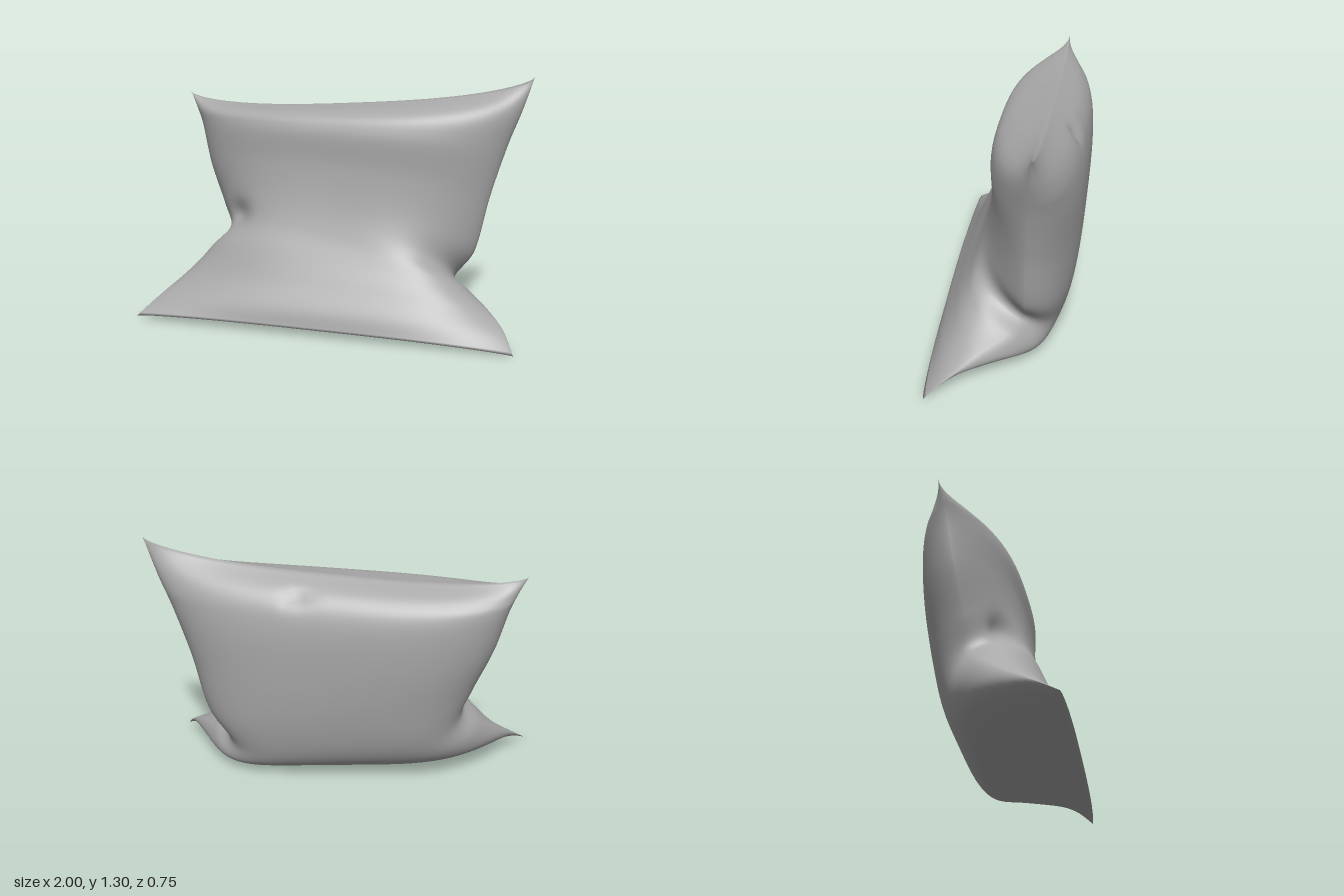
import * as THREE from 'three';
import { mergeGeometries, mergeVertices } from 'three/addons/utils/BufferGeometryUtils.js';

// Stations from the bottom seam to the top seam.
// left seam x,y,z | right seam x,y,z | front centre y,z | back centre y,z
const STATIONS = [
  [-1.00, 0.02, 0.37, 1.00, 0.00, 0.33, 0.04, 0.37, 0.04, 0.37],
  [-0.92, 0.11, 0.25, 0.93, 0.09, 0.21, 0.13, 0.345, 0.04, 0.18],
  [-0.82, 0.21, 0.10, 0.83, 0.15, 0.08, 0.25, 0.28, 0.05, -0.07],
  [-0.72, 0.31, -0.03, 0.72, 0.19, -0.06, 0.38, 0.215, 0.08, -0.19],
  [-0.63, 0.41, -0.09, 0.63, 0.255, -0.10, 0.50, 0.165, 0.20, -0.28],
  [-0.68, 0.56, -0.11, 0.73, 0.39, -0.12, 0.65, 0.125, 0.42, -0.34],
  [-0.77, 0.78, -0.14, 0.80, 0.68, -0.13, 0.84, 0.10, 0.70, -0.37],
  [-0.83, 1.00, -0.17, 0.88, 0.95, -0.15, 1.02, 0.095, 0.93, -0.365],
  [-0.87, 1.10, -0.18, 0.95, 1.14, -0.17, 1.11, 0.03, 1.06, -0.31],
  [-0.91, 1.18, -0.19, 1.00, 1.30, -0.18, 1.145, -0.18, 1.145, -0.18],
];

// Pinched spots in the cloth: centre, radius, push along z
const FRONT_DENTS = [[new THREE.Vector3(-0.52, 0.53, 0.06), 0.08, -0.05]];
const BACK_DENTS = [[new THREE.Vector3(0.20, 1.06, -0.30), 0.05, 0.035]];

const curve = (pick) =>
  new THREE.CatmullRomCurve3(STATIONS.map((r) => new THREE.Vector3(...pick(r))), false, 'catmullrom', 0.5);

// One cloth sheet, bulging from the two side seams to its centre line
function sheet(left, right, centre, dents, isBack) {
  const NU = 48, NV = 72;
  const pos = [], index = [];
  for (let j = 0; j <= NV; j++) {
    const t = j / NV;
    const L = left.getPoint(t), R = right.getPoint(t), C = centre.getPoint(t);
    const mid = L.clone().add(R).multiplyScalar(0.5);
    const bulge = C.sub(mid).setX(0);
    // the sides are rounded, blunter on the back and around the folded waist
    const waist = Math.exp(-(((t - 0.36) / 0.14) ** 2));
    const blunt = isBack ? Math.min(1, t * 6, (1 - t) * 6) : 0;
    const root = 0.65 - Math.max(0.14 * waist, 0.16 * blunt);
    for (let i = 0; i <= NU; i++) {
      const s = Math.sin((i / NU - 0.5) * Math.PI);
      const p = L.clone().lerp(R, (s + 1) / 2);
      const power = 2.7 + 0.5 * blunt + waist * (s > 0 ? 3 : 1);
      const lift = Math.max(0, 1 - Math.abs(s) ** power) ** root;
      p.addScaledVector(bulge, lift);
      // dents fade out towards all four seams
      const fade = Math.min(1, lift * 3, t * 8, (1 - t) * 8);
      let dz = 0;
      for (const [c, r, push] of dents) dz += push * Math.exp(-p.distanceToSquared(c) / (r * r));
      p.z += dz * fade;
      pos.push(p.x, p.y, p.z);
    }
  }
  const W = NU + 1;
  for (let j = 0; j < NV; j++) {
    for (let i = 0; i < NU; i++) {
      const a = j * W + i, b = a + 1, c = a + W, d = c + 1;
      if (isBack) index.push(a, c, b, b, c, d);
      else index.push(a, b, c, b, d, c);
    }
  }
  const g = new THREE.BufferGeometry();
  g.setAttribute('position', new THREE.Float32BufferAttribute(pos, 3));
  g.setIndex(index);
  return g;
}

export function createModel() {
  const group = new THREE.Group();
  group.name = 'pillow';
  const cloth = new THREE.MeshStandardMaterial({ color: 0xa8a8a8 });
  cloth.name = 'grey cloth';

  const left = curve((r) => r.slice(0, 3));
  const right = curve((r) => r.slice(3, 6));
  const front = curve((r) => [0, r[6], r[7]]);
  const back = curve((r) => [0, r[8], r[9]]);

  // Front and back cloth are welded so the shading runs smoothly over the seams
  const cover = mergeVertices(mergeGeometries([
    sheet(left, right, front, FRONT_DENTS, false),
    sheet(left, right, back, BACK_DENTS, true),
  ]));
  cover.computeVertexNormals();
  const mesh = new THREE.Mesh(cover, cloth);
  mesh.name = 'pillowCover';
  group.add(mesh);
  return group;
}
